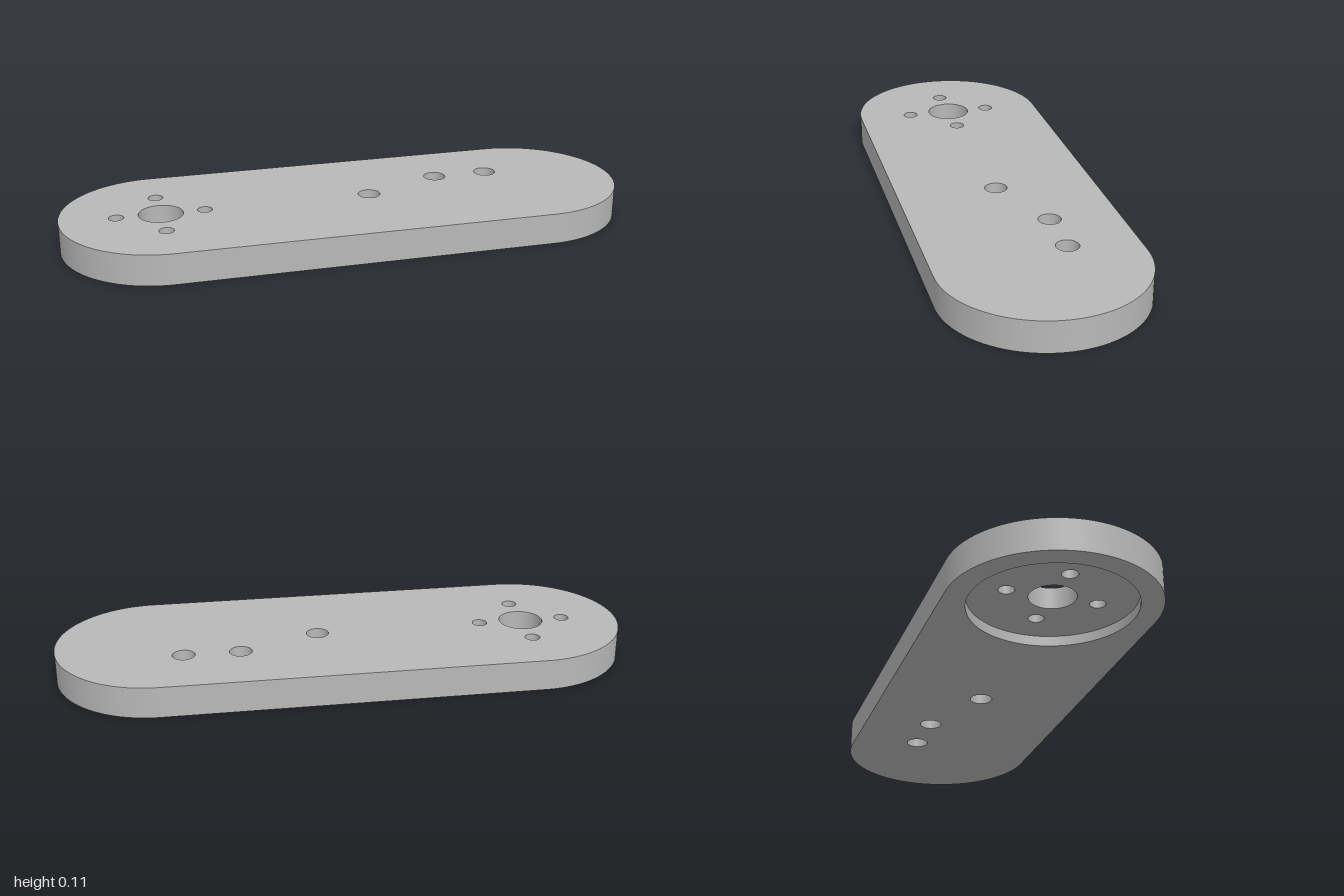
import * as THREE from 'three';
import { mergeGeometries } from 'three/addons/utils/BufferGeometryUtils.js';

const T = 0.109;        // plate thickness
const R = 0.347;        // end radius
const C = 1 - R;        // x of the end centres
const POCKET_R = 0.273; // round recess in the underside
const POCKET_D = 0.035;

// Holes as [x, z, radius]
const hubHoles = [[-C, 0, 0.077]];
for (const [dx, dz] of [[1, 0], [-1, 0], [0, 1], [0, -1]]) {
  hubHoles.push([-C + dx * 0.152, dz * 0.152, 0.026]);
}
const armHoles = [[0.087, 0, 0.039], [0.367, -0.11, 0.039], [0.562, -0.11, 0.039]];

function circle(x, y, r, Type = THREE.Path) {
  return new Type().absarc(x, y, r, 0, Math.PI * 2, false);
}

function slotOutline() {
  const s = new THREE.Shape();
  s.absarc(C, 0, R, -Math.PI / 2, Math.PI / 2, false);
  s.absarc(-C, 0, R, Math.PI / 2, Math.PI * 1.5, false);
  s.closePath();
  return s;
}

// Flat face at height y, facing up (dir 1) or down (dir -1)
function face(shape, holes, y, dir) {
  for (const [x, z, r] of holes) shape.holes.push(circle(x, -z * dir, r));
  return new THREE.ShapeGeometry(shape, 32).rotateX(-dir * Math.PI / 2).translate(0, y, 0);
}

// Round wall: y0 below y1 faces outward, y0 above y1 faces inward
function wall(x, z, r, y0, y1, start = 0, length = Math.PI * 2) {
  const profile = [new THREE.Vector2(r, y0), new THREE.Vector2(r, y1)];
  return new THREE.LatheGeometry(profile, 64, start, length).translate(x, 0, z);
}

export function createModel() {
  const group = new THREE.Group();
  group.name = 'mountingArm';
  const metal = new THREE.MeshStandardMaterial({ color: 0xb8b8b8 });
  metal.name = 'plain grey metal';
  const add = (name, ...parts) => {
    const mesh = new THREE.Mesh(mergeGeometries(parts), metal);
    mesh.name = name;
    group.add(mesh);
  };

  // Flat faces
  add('topFace', face(slotOutline(), [...hubHoles, ...armHoles], T, 1));
  add('undersideFace', face(slotOutline(), [[-C, 0, POCKET_R], ...armHoles], 0, -1));
  add('recessFloor', face(circle(-C, 0, POCKET_R, THREE.Shape), hubHoles, POCKET_D, -1));

  // Outer rim: two straight sides and two rounded ends
  const side = () => new THREE.PlaneGeometry(2 * C, T).translate(0, T / 2, R);
  add('outerRim',
    side(), side().rotateY(Math.PI),
    wall(C, 0, R, 0, T, 0, Math.PI),
    wall(-C, 0, R, 0, T, Math.PI, Math.PI));

  // Inner walls
  add('recessWall', wall(-C, 0, POCKET_R, POCKET_D, 0));
  add('hubHoleWalls', ...hubHoles.map(([x, z, r]) => wall(x, z, r, T, POCKET_D)));
  add('armHoleWalls', ...armHoles.map(([x, z, r]) => wall(x, z, r, T, 0)));
  return group;
}
